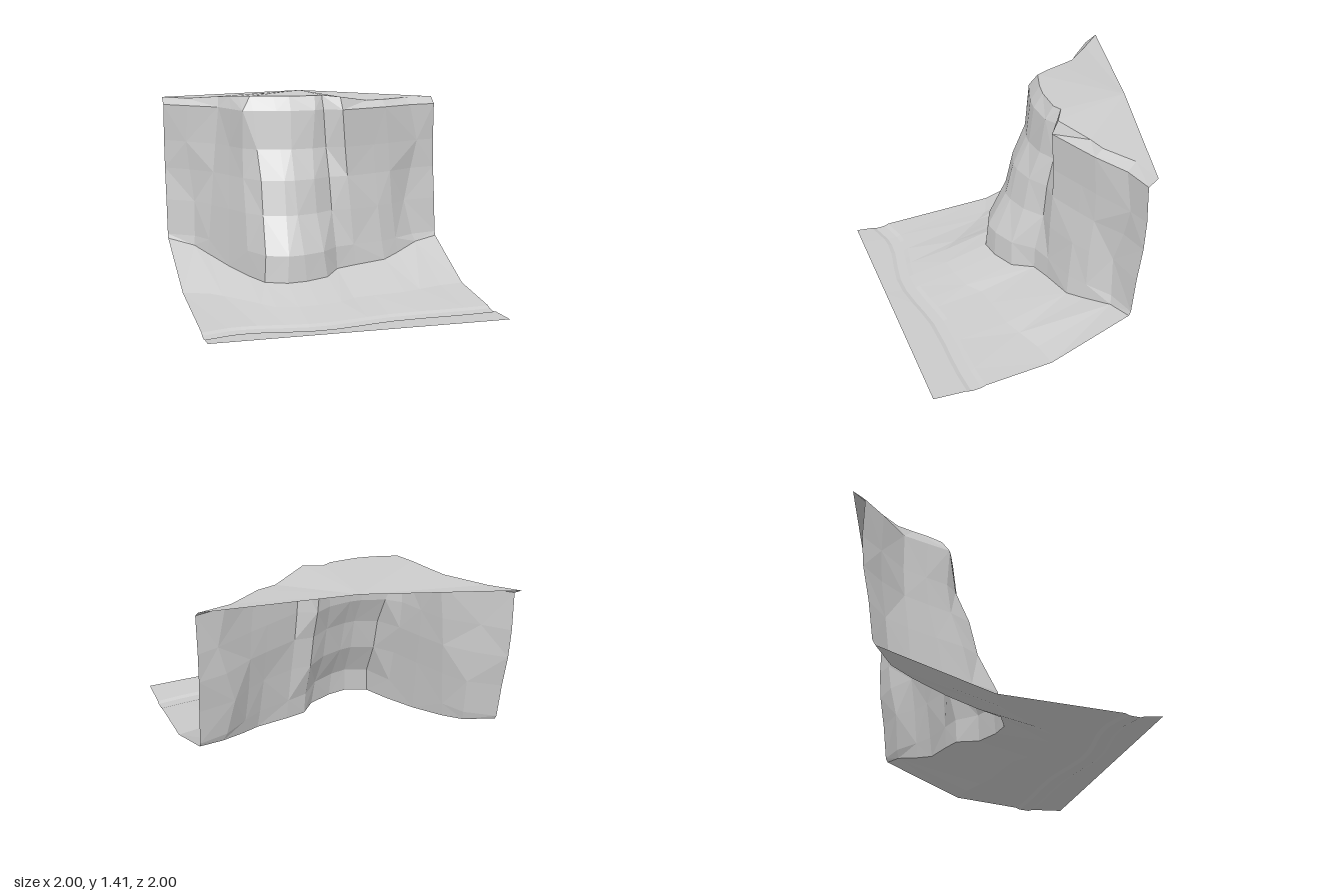
import * as THREE from 'three';

const material = new THREE.MeshStandardMaterial({ color: 0xcccccc, flatShading: true, side: THREE.DoubleSide });

function makeMesh(name, points, index) {
  const g = new THREE.BufferGeometry();
  g.setAttribute('position', new THREE.Float32BufferAttribute(points.flat(), 3));
  g.setIndex(index);
  g.computeVertexNormals();
  const mesh = new THREE.Mesh(g, material);
  mesh.name = name;
  return mesh;
}

// Skin a list of rows, each row holding points from left to right, lower row first
function loft(name, rows) {
  const n = rows[0].length, index = [];
  for (let r = 0; r < rows.length - 1; r++) {
    for (let c = 0; c < n - 1; c++) {
      const a = r * n + c, b = a + 1, d = a + n, e = d + 1;
      if ((r + c) % 2) index.push(a, b, e, a, e, d);
      else index.push(a, b, d, b, e, d);
    }
  }
  return makeMesh(name, rows.flat(), index);
}

// Heights of the rock courses, and how far each leans from foot (0) to rim (1)
const levels = [0.33, 0.59, 0.83, 1.04, 1.31];
const wallLean = [0.1, 0.28, 0.52, 0.6, 0.55];
const buttressLean = [0.04, 0.36, 0.5, 0.74, 0.83];

// Columns of rock: foot x, foot z, rim x, rim z, sideways sway
const leftWall = [
  [-1, -0.82, -1, -1, 0],
  [-0.82, -0.69, -0.84, -0.84, 0.02],
  [-0.74, -0.54, -0.63, -0.64, 0],
  [-0.63, -0.3, -0.57, -0.52, 0],
  [-0.53, -0.07, -0.52, -0.41, 0],
];
const buttress = [
  [-0.45, 0.11, -0.46, -0.3, 0.03],
  [-0.3, 0.175, -0.3, -0.25, 0.03],
  [-0.16, 0.155, -0.19, -0.23, -0.02],
  [0.01, 0.085, 0, -0.23, -0.05],
  [0.12, -0.05, 0.06, -0.26, 0],
];
const rightWall = [
  [0.27, -0.09, 0.18, -0.19, 0],
  [0.51, -0.14, 0.42, -0.32, -0.01],
  [0.64, -0.22, 0.55, -0.35, -0.01],
  [0.82, -0.33, 0.77, -0.48, -0.07],
  [1, -0.38, 1, -0.52, 0],
];

// The foot climbs as it recedes; the rim is highest above the buttress
const footHeight = (x, z) => 0.145 + 0.155 * ((0.175 - z) / (x < 0 ? 1 : 0.555)) ** 2;
const rimHeight = (x) => 1.36 + 0.05 * THREE.MathUtils.clamp((0.6 - Math.abs(x + 0.18)) / 0.3, 0, 1);

// Points of one column from foot to rim; sway bends it once or in an S
function column([x0, z0, x1, z1, sway], lean, bends) {
  const y0 = footHeight(x0, z0), y1 = rimHeight(x1);
  const courses = levels.map((y, i) => {
    const t = (y - y0) / (y1 - y0);
    return [x0 + (x1 - x0) * t + sway * Math.sin(Math.PI * bends * t), y, z0 + (z1 - z0) * lean[i]];
  });
  return [[x0, y0, z0], ...courses, [x1, y1, z1]];
}

export function createModel() {
  const group = new THREE.Group();
  group.name = 'seaCliff';

  // Rock face
  const columns = [
    ...leftWall.map((c) => column(c, wallLean, 2)),
    ...buttress.map((c) => column(c, buttressLean, 1)),
    ...rightWall.map((c) => column(c, wallLean, 2)),
  ];
  const courses = columns[0].map((_, i) => columns.map((c) => c[i]));
  group.add(loft('cliffFace', courses));

  // Sloping beach with a shallow trough along the wavy waterline
  const feet = courses[0];
  const ripple = (x) => 0.7 - 0.06 * x + 0.03 * (1 - x) * Math.cos(5.5 * (x + 0.17));
  const waterline = (y, offset) => feet.map(([x]) => [x, y, ripple(x) + offset]);
  group.add(loft('beach', [
    feet.map(([x]) => [x, 0.02, 1]),
    waterline(0.01, 0.13),
    waterline(0, 0.1),
    waterline(0.005, 0.03),
    waterline(0.018, 0),
    feet.map(([x, , z]) => [x, 0.062, 0.39 + 0.57 * z]),
    feet,
  ]));

  // Plateau fanning out from a point on the back edge
  const rim = courses[courses.length - 1];
  const fan = rim.slice(1).flatMap((_, i) => [0, i + 1, i + 2]);
  group.add(makeMesh('plateau', [[0.02, 1.41, -0.755], ...rim], fan));

  return group;
}
